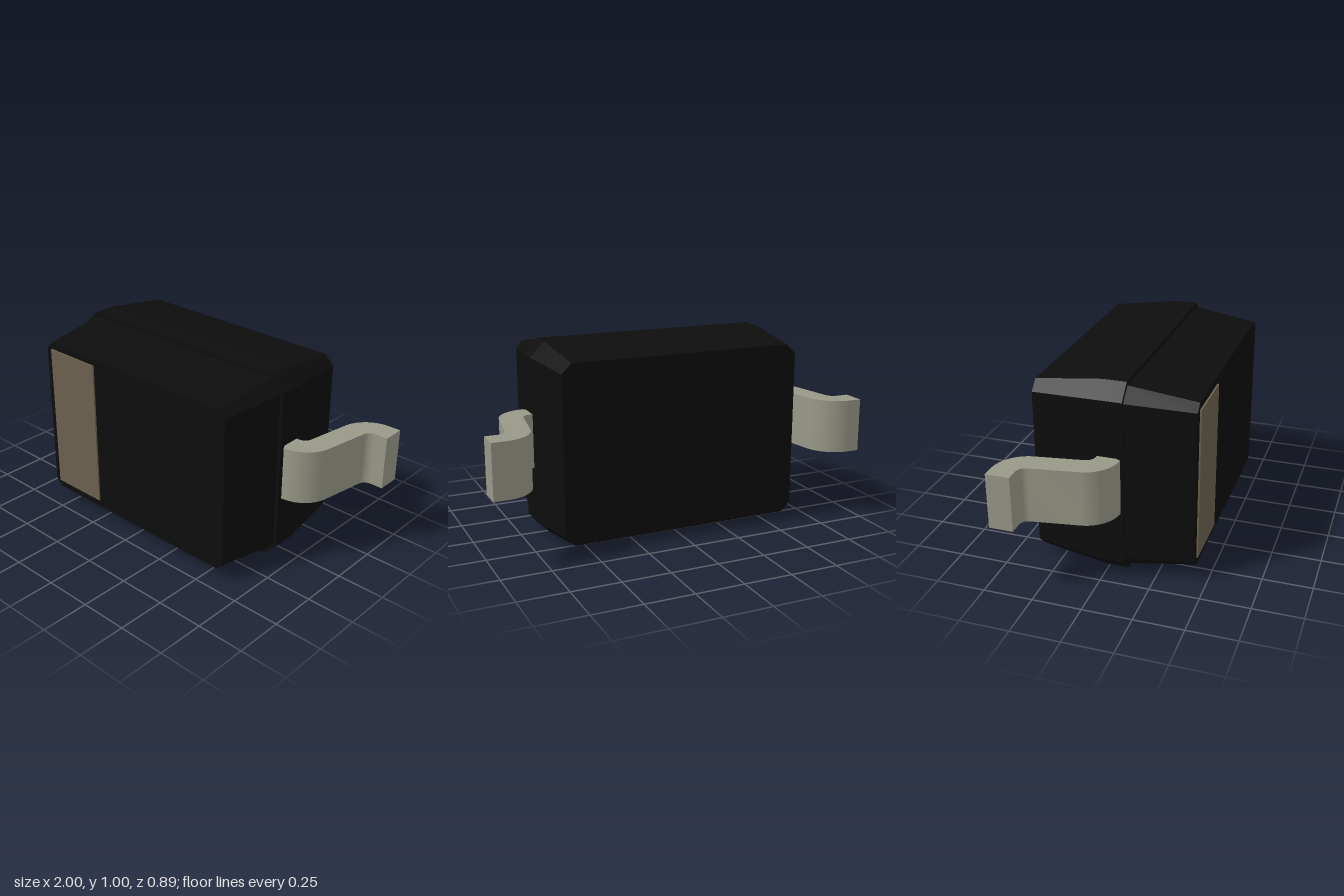
import * as THREE from 'three';
import { toCreasedNormals } from 'three/addons/utils/BufferGeometryUtils.js';

// Chamfered rectangle, counter-clockwise seen from +z
function ring([z, hx, hy, c]) {
  return [
    [hx, -hy + c], [hx, hy - c], [hx - c, hy], [-hx + c, hy],
    [-hx, hy - c], [-hx, -hy + c], [-hx + c, -hy], [hx - c, -hy],
  ].map(([x, y]) => new THREE.Vector3(x, y, z));
}

// Loft through the sections from front to back, with flat end caps
function loft(sections) {
  const rings = sections.map(ring);
  const points = [];
  for (let i = 0; i < rings.length - 1; i++) {
    for (let j = 0; j < 8; j++) {
      const k = (j + 1) % 8;
      const a = rings[i][j], b = rings[i][k], c = rings[i + 1][j], d = rings[i + 1][k];
      points.push(a, c, b, b, c, d);
    }
  }
  const front = rings[0], back = rings[rings.length - 1];
  for (let j = 1; j < 7; j++) {
    points.push(front[0], front[j], front[j + 1]);
    points.push(back[0], back[j + 1], back[j]);
  }
  const geometry = new THREE.BufferGeometry().setFromPoints(points);
  geometry.computeVertexNormals();
  return geometry;
}

// Bent strip of constant thickness: two concentric bends joined by a steep leg
function leadGeometry() {
  const inner = 0.045, outer = 0.165, width = 0.28;
  const lean = THREE.MathUtils.degToRad(9), right = Math.PI / 2;
  const shape = new THREE.Shape();
  shape.moveTo(0.62, -0.09);
  shape.absarc(0.69, 0.075, outer, -right, -lean, false);
  shape.absarc(0.935, 0.28, inner, Math.PI - lean, right, true);
  shape.lineTo(1, 0.325);
  shape.lineTo(1, 0.445);
  shape.absarc(0.935, 0.28, outer, right, Math.PI - lean, false);
  shape.absarc(0.69, 0.075, inner, -lean, -right, true);
  shape.lineTo(0.62, 0.03);
  const geometry = new THREE.ExtrudeGeometry(shape, { depth: width, bevelEnabled: false, curveSegments: 14 });
  geometry.translate(0, 0, -width / 2);
  geometry.rotateX(-Math.PI / 2);
  return toCreasedNormals(geometry, 0.5);
}

export function createModel() {
  const model = new THREE.Group();
  const blackPlastic = new THREE.MeshStandardMaterial({ color: 0x0d0d0d });
  blackPlastic.name = 'black plastic';
  const metal = new THREE.MeshStandardMaterial({ color: 0x989888 });
  metal.name = 'tinned metal';
  const paint = new THREE.MeshStandardMaterial({ color: 0x6b604f });
  paint.name = 'brown band paint';

  const add = (name, geometry, material) => {
    const mesh = new THREE.Mesh(geometry, material);
    mesh.name = name;
    mesh.position.y = 0.5;
    model.add(mesh);
    return mesh;
  };

  // Moulded body: tapered front, small step, straight waist, tapered back
  add('body', loft([
    [0.435, 0.613, 0.432, 0.038],
    [0.097, 0.66, 0.48, 0.066],
    [0.097, 0.677, 0.5, 0.075],
    [-0.022, 0.677, 0.5, 0.075],
    [-0.365, 0.633, 0.453, 0.05],
  ]), blackPlastic);

  // Polarity band on the front face
  const band = add('polarityBand', new THREE.BoxGeometry(0.32, 0.786, 0.009), paint);
  band.position.set(-0.415, 0.503, 0.4395);

  // Leads, the second turned over to mirror the first
  const lead = leadGeometry();
  add('leftLead', lead, metal);
  add('rightLead', lead, metal).rotation.z = Math.PI;

  return model;
}
